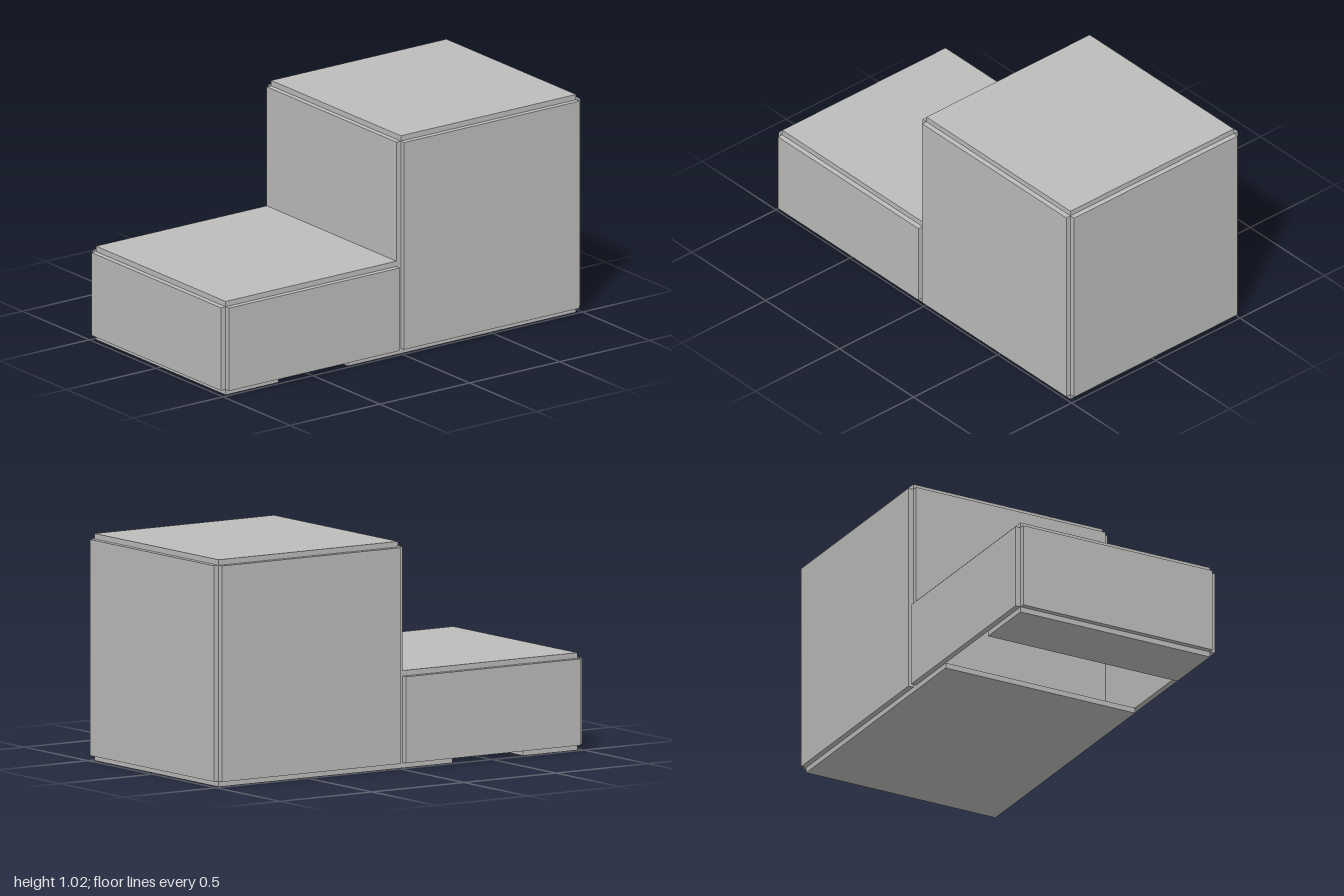
import * as THREE from 'three';

export function createModel() {
  const model = new THREE.Group();
  model.name = 'steppedBox';
  const grey = new THREE.MeshStandardMaterial({ color: 0xbcbcba });
  grey.name = 'panel grey';

  // Flat panel given by its ranges along x, y and z
  function panel(name, [x0, x1], [y0, y1], [z0, z1]) {
    const mesh = new THREE.Mesh(new THREE.BoxGeometry(x1 - x0, y1 - y0, z1 - z0), grey);
    mesh.position.set((x0 + x1) / 2, (y0 + y1) / 2, (z0 + z1) / 2);
    mesh.name = name;
    model.add(mesh);
  }

  const t = 0.025; // panel thickness
  const width = [-0.485, 0.485];
  const tall = 1.0, low = 0.415; // heights of the wall panels
  const end = 0.975; // inner face of the front and back panels

  // Tops of the two steps
  panel('upperTop', width, [tall, tall + t], [-end, 0]);
  panel('lowerTop', width, [low, low + t], [t, end]);

  // Cross walls
  panel('backPanel', width, [t, tall], [-end - t, -end]);
  panel('riserPanel', width, [t, tall], [0, t]);
  panel('frontPanel', width, [t, low], [end, end + t]);

  // Side walls, set outside the cross walls so the edges stay notched
  for (const [side, x] of [['left', [0.485, 0.51]], ['right', [-0.51, -0.485]]]) {
    panel(side + 'UpperSide', x, [t, tall], [-end, 0]);
    panel(side + 'LowerSide', x, [t, low], [t, end]);
  }

  // Floor with an open slot under the low step
  panel('rearFloor', width, [0, t], [-end, 0.295]);
  panel('frontFloor', width, [0, t], [0.68, end]);

  return model;
}
